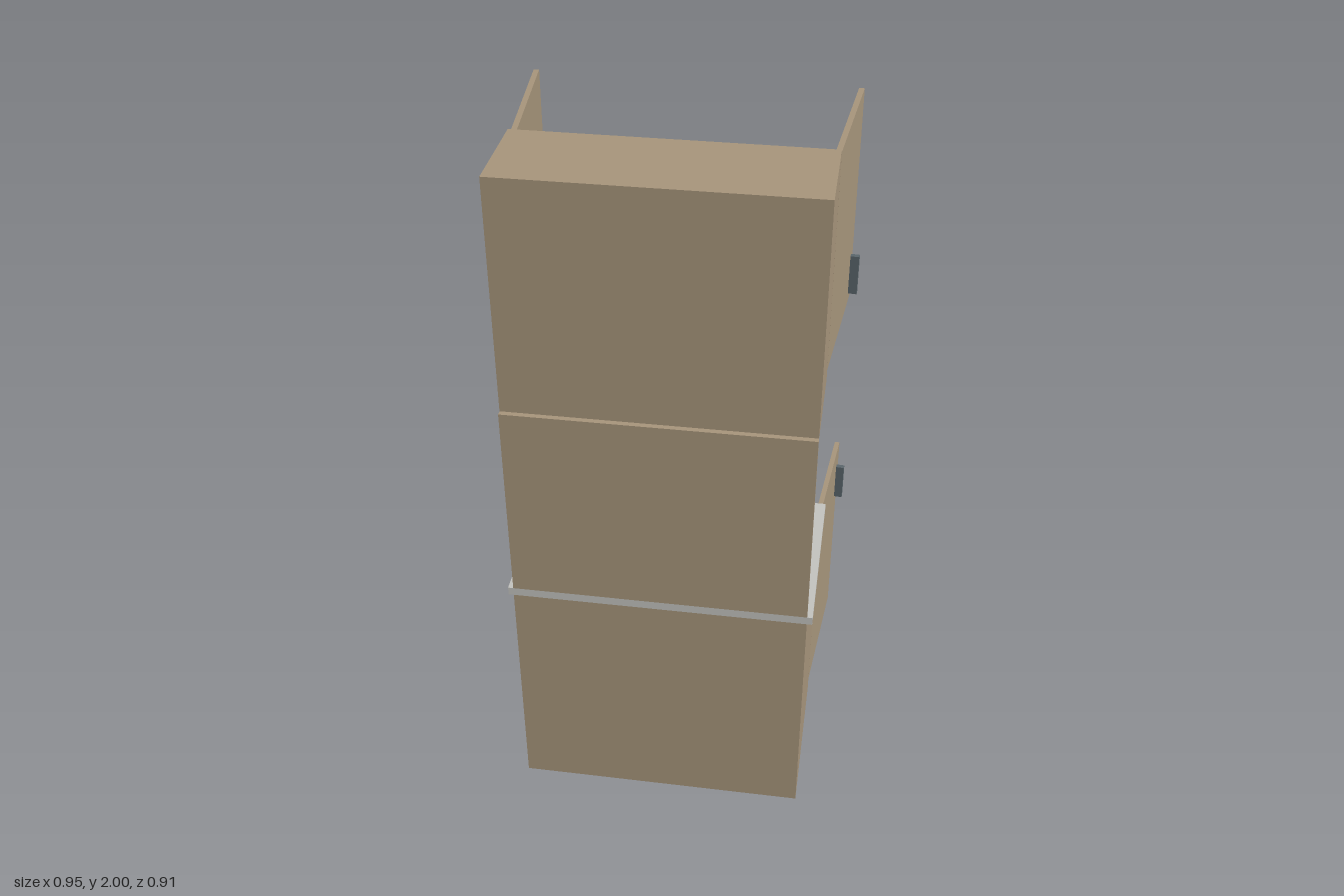
import * as THREE from 'three';

const mat = (name, color) => {
  const m = new THREE.MeshStandardMaterial({ color });
  m.name = name;
  return m;
};

export function createModel() {
  const wood = mat('wood', 0xa8967c);
  const stone = mat('lightGrey', 0xc4c4c0);
  const dark = mat('darkBacking', 0x222222);
  const metal = mat('handleMetal', 0x5c676d);
  const glass = mat('canisterGlass', 0x8fa5a5);
  glass.flatShading = stone.flatShading = true;

  const model = new THREE.Group();
  model.name = 'kitchenUnit';

  // Box given by its lower and upper corners
  const box = (parent, name, m, [x0, y0, z0], [x1, y1, z1]) => {
    const mesh = new THREE.Mesh(new THREE.BoxGeometry(x1 - x0, y1 - y0, z1 - z0), m);
    mesh.position.set((x0 + x1) / 2, (y0 + y1) / 2, (z0 + z1) / 2);
    mesh.name = name;
    parent.add(mesh);
    return mesh;
  };
  // Faceted upright cylinder standing at height y
  const cylinder = (name, m, r, h, sides, x, y, z) => {
    const mesh = new THREE.Mesh(new THREE.CylinderGeometry(r, r, h, sides), m);
    mesh.position.set(x, y + h / 2, z);
    mesh.name = name;
    model.add(mesh);
  };

  const W = 0.415, T = 0.015;

  // Open cabinet shell facing -z, with a dark inner backing
  const cabinet = (name, y0, y1, z0, z1) => {
    const g = new THREE.Group();
    g.name = name;
    box(g, 'sideLeft', wood, [W - T, y0, z0], [W, y1, z1]);
    box(g, 'sideRight', wood, [-W, y0, z0], [-W + T, y1, z1]);
    box(g, 'floor', wood, [-W + T, y0, z0], [W - T, y0 + T, z1]);
    box(g, 'ceiling', wood, [-W + T, y1 - T, z0], [W - T, y1, z1]);
    box(g, 'backPanel', wood, [-W + T, y0 + T, z1 - T], [W - T, y1 - T, z1]);
    box(g, 'backing', dark, [-W + T, y0 + T, z1 - T - 0.005], [W - T, y1 - T, z1 - T]);
    model.add(g);
    return g;
  };
  const base = cabinet('lowerCabinet', 0, 0.715, -0.025, 0.455);
  box(base, 'divider', wood, [-T / 2, T, -0.025], [T / 2, 0.7, 0.435]);
  const upper = cabinet('upperCabinet', 1.335, 2, 0.165, 0.44);
  box(upper, 'shelf', wood, [-W + T, 1.675, 0.18], [W - T, 1.69, 0.42]);

  // Pair of opened doors, with handles near their free edges
  const doors = (name, y0, y1, zMid, handleY) => {
    for (const s of [1, -1]) {
      const g = new THREE.Group();
      g.name = name + (s > 0 ? 'Left' : 'Right');
      g.position.set(s * 0.425, 0, zMid);
      g.rotation.y = -s * THREE.MathUtils.degToRad(5);
      box(g, 'doorPanel', wood, [-T / 2, y0, -0.206], [T / 2, y1, 0.206]);
      const h = box(g, 'handle', metal, [-0.0125, handleY, -0.175], [0.0125, handleY + 0.12, -0.16]);
      h.position.x = s * (T / 2 + 0.0125);
      model.add(g);
    }
  };
  doors('lowerDoor', 0.02, 0.692, -0.25, 0.505);
  doors('upperDoor', 1.355, 1.985, -0.06, 1.385);

  // Worktop, splashback and strip light
  box(model, 'worktop', stone, [-0.43, 0.715, -0.06], [0.43, 0.74, 0.455]);
  box(model, 'splashback', wood, [-W, 0.74, 0.44], [W, 1.335, 0.455]);
  box(model, 'stripLight', stone, [-0.35, 1.322, 0.375], [0.35, 1.335, 0.415]);

  // Appliance with its canister
  box(model, 'applianceBody', stone, [-0.3, 0.74, 0.167], [-0.105, 1.085, 0.375]);
  cylinder('canister', glass, 0.075, 0.2, 12, -0.2, 1.085, 0.275);

  // Cartons overhanging the shelf
  box(model, 'shortCarton', wood, [0.16, 1.69, 0.115], [0.225, 1.78, 0.365]);
  box(model, 'tallCarton', wood, [-0.045, 1.69, 0.115], [0.02, 1.815, 0.365]);

  // Cups on the worktop, the cabinet floor and the shelf
  const cups = [
    [0.274, 0.74, 0.21], [0.175, 0.74, 0.21], [0.097, 0.74, 0.21],
    [0.164, T, 0.13], [0.28, T, 0.264], [-0.17, 1.69, 0.29],
  ];
  for (const [x, y, z] of cups) cylinder('cup', stone, 0.03, 0.088, 10, x, y, z);

  return model;
}
